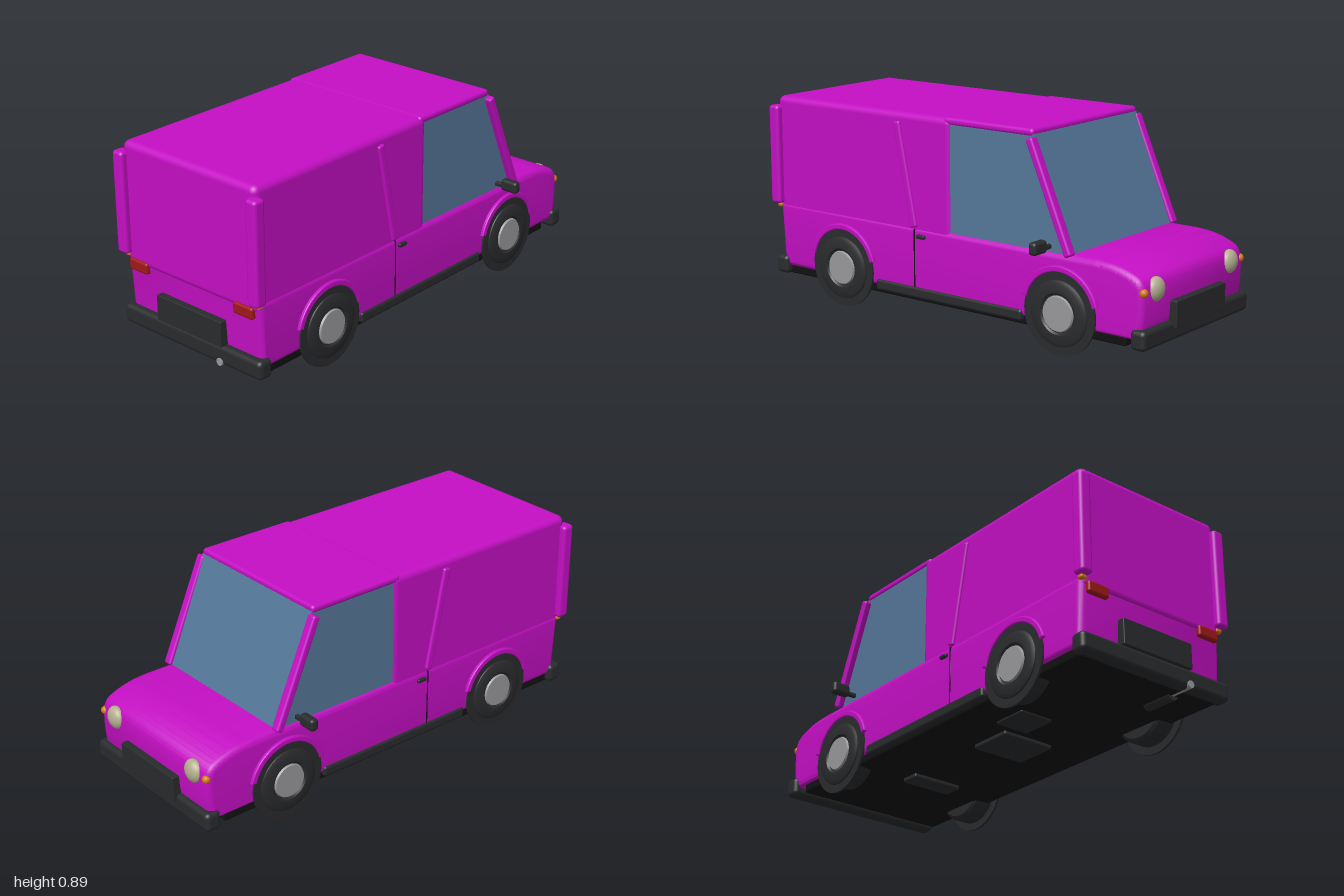
import * as THREE from 'three';
import { mergeVertices, toCreasedNormals } from 'three/addons/utils/BufferGeometryUtils.js';
import { RoundedBoxGeometry } from 'three/addons/geometries/RoundedBoxGeometry.js';

const mat = (color) => new THREE.MeshStandardMaterial({ color });
const paint = mat(0xc40fc4), glass = mat(0x557799), black = mat(0x2a2b2d), floorBlack = mat(0x111111);
const hubGrey = mat(0x99999c), cream = mat(0xb5ae90), amber = mat(0xd07a10), red = mat(0xa01818);

export function createModel() {
  const model = new THREE.Group();
  const add = (name, geo, material, x = 0, y = 0, z = 0) => {
    const mesh = new THREE.Mesh(geo, material);
    mesh.name = name;
    mesh.position.set(x, y, z);
    model.add(mesh);
    return mesh;
  };
  // Rounded box given by its extents
  const box = (name, material, [x0, x1], [y0, y1], [z0, z1], r = 0.012) =>
    add(name, new RoundedBoxGeometry(x1 - x0, y1 - y0, z1 - z0, 3, r), material,
      (x0 + x1) / 2, (y0 + y1) / 2, (z0 + z1) / 2);
  // Same box on both sides
  const boxPair = (name, material, [x0, x1], ys, zs, r) => {
    box(name + 'Left', material, [x0, x1], ys, zs, r);
    box(name + 'Right', material, [-x1, -x0], ys, zs, r);
  };
  // Side profile (x = -z, y) extruded across the width, with rounded edges
  const across = (name, shape, halfWidth, bevel, material) => {
    let geo = new THREE.ExtrudeGeometry(shape, {
      depth: 2 * (halfWidth - bevel), curveSegments: 16, bevelEnabled: bevel > 0,
      bevelThickness: bevel, bevelSize: bevel, bevelOffset: -bevel, bevelSegments: 5,
    });
    geo.translate(0, 0, -(halfWidth - bevel));
    geo.rotateY(Math.PI / 2);
    geo.deleteAttribute('uv');
    geo.deleteAttribute('normal');
    geo = toCreasedNormals(mergeVertices(geo), 0.6);
    return add(name, geo, material);
  };
  // Slanted strip between two (z, y) points
  const strip = (name, x, width, thick, [z0, y0], [z1, y1]) => {
    const len = Math.hypot(z1 - z0, y1 - y0);
    const geo = new RoundedBoxGeometry(width, len, thick, 3, 0.01);
    const mesh = add(name, geo, paint, x, (y0 + y1) / 2, (z0 + z1) / 2);
    mesh.rotation.x = Math.atan2(z1 - z0, y1 - y0);
  };

  // Lower body with bonnet
  const body = new THREE.Shape();
  body.moveTo(-0.95, 0.12);
  body.lineTo(-0.967, 0.412);
  body.lineTo(0.74, 0.412);
  body.splineThru([[0.82, 0.406], [0.9, 0.385], [0.95, 0.355], [0.966, 0.3], [0.964, 0.2], [0.95, 0.12]]
    .map(([x, y]) => new THREE.Vector2(x, y)));
  across('lowerBody', body, 0.37, 0.03, paint);

  // Cargo box, cab roof and glazing
  box('cargoBox', paint, [-0.365, 0.365], [0.36, 0.885], [-0.02, 0.972], 0.03);
  box('cabRoof', paint, [-0.362, 0.362], [0.855, 0.887], [-0.435, 0.02], 0.014);
  const cab = new THREE.Shape();
  cab.moveTo(-0.05, 0.4);
  cab.lineTo(0.628, 0.4);
  cab.lineTo(0.435, 0.865);
  cab.lineTo(-0.05, 0.865);
  across('cabGlass', cab, 0.357, 0, glass);

  // Pillars and corner posts
  for (const s of [1, -1]) {
    strip('windscreenPillar', s * 0.365, 0.042, 0.034, [-0.622, 0.405], [-0.428, 0.852]);
    strip('sidePillar', s * 0.365, 0.022, 0.036, [0.178, 0.405], [0.27, 0.845]);
  }
  boxPair('cornerPost', paint, [0.335, 0.392], [0.405, 0.843], [0.943, 1.0], 0.015);

  // Sills, underside and running gear
  boxPair('sill', black, [0.33, 0.378], [0.105, 0.152], [-0.39, 0.39]);
  box('floorPan', floorBlack, [-0.355, 0.355], [0.088, 0.13], [-0.88, 0.95], 0.008);
  box('fuelTank', black, [-0.12, 0.13], [0.07, 0.1], [0.02, 0.22], 0.008);
  box('silencer', black, [-0.2, -0.04], [0.078, 0.1], [0.26, 0.42], 0.008);
  box('sump', black, [-0.12, 0.12], [0.07, 0.1], [-0.47, -0.38], 0.008);
  const exhaust = add('exhaustPipe', new THREE.CylinderGeometry(0.016, 0.016, 0.14, 20), hubGrey, 0.167, 0.102, 0.92);
  exhaust.rotation.x = Math.PI / 2;
  const muffler = add('exhaustMuffler', new THREE.CylinderGeometry(0.028, 0.028, 0.14, 20), black, 0.167, 0.098, 0.82);
  muffler.rotation.x = Math.PI / 2;

  // Bumpers and number plates
  box('rearBumper', black, [-0.385, 0.385], [0.088, 0.17], [0.915, 0.985], 0.02);
  box('noseBumper', black, [-0.385, 0.385], [0.088, 0.17], [-0.985, -0.915], 0.02);
  box('rearPlate', black, [-0.18, 0.18], [0.168, 0.278], [0.945, 0.99], 0.004);
  box('nosePlate', black, [-0.18, 0.18], [0.14, 0.25], [-0.998, -0.95], 0.004);

  // Lamps, mirrors, handles and door seams
  boxPair('tailLamp', red, [0.24, 0.344], [0.338, 0.388], [0.95, 0.982], 0.01);
  boxPair('rearMarker', amber, [0.345, 0.376], [0.388, 0.408], [0.95, 0.975], 0.008);
  boxPair('mirror', black, [0.392, 0.475], [0.412, 0.465], [-0.535, -0.497], 0.014);
  boxPair('mirrorArm', black, [0.35, 0.4], [0.42, 0.44], [-0.525, -0.507], 0.006);
  boxPair('doorHandle', black, [0.36, 0.382], [0.363, 0.38], [0.115, 0.16], 0.006);
  boxPair('doorSeam', floorBlack, [0.36, 0.3715], [0.15, 0.4], [0.173, 0.179], 0.001);
  for (const s of [1, -1]) {
    const lamp = add('headLamp', new THREE.SphereGeometry(0.05, 28, 16), cream, s * 0.27, 0.312, -0.955);
    lamp.scale.z = 0.65;
    add('indicator', new THREE.SphereGeometry(0.018, 16, 12), amber, s * 0.352, 0.312, -0.957);
  }

  // Wheels with wall disc and hub, and the flares above them
  const tyreProfile = [[0, 0.28], [0.125, 0.28], [0.137, 0.29], [0.14, 0.305], [0.14, 0.365], [0.135, 0.383],
    [0.12, 0.391], [0.085, 0.391], [0.078, 0.384], [0, 0.384]].map(([r, x]) => new THREE.Vector2(r, x));
  const tyreGeo = toCreasedNormals(new THREE.LatheGeometry(tyreProfile, 40), 0.6);
  const wallGeo = new THREE.CylinderGeometry(0.172, 0.172, 0.01, 48);
  const hubGeo = new THREE.CylinderGeometry(0.07, 0.076, 0.012, 36);
  const arch = new THREE.Shape();
  arch.absarc(0, 0, 0.19, 0.26, Math.PI - 0.26, false);
  arch.absarc(0, 0, 0.165, Math.PI - 0.26, 0.26, true);
  const archGeo = new THREE.ExtrudeGeometry(arch, {
    depth: 0.03, curveSegments: 32, bevelThickness: 0.005, bevelSize: 0.005, bevelOffset: -0.005, bevelSegments: 2,
  });
  archGeo.translate(0, 0, -0.015);
  for (const s of [1, -1]) for (const z of [0.58, -0.58]) {
    const wheel = new THREE.Group();
    wheel.name = 'wheel';
    [['tyre', tyreGeo, black, 0], ['tyreWall', wallGeo, black, 0.373], ['hub', hubGeo, hubGrey, 0.386]]
      .forEach(([name, geo, material, offset]) => {
        const part = new THREE.Mesh(geo, material);
        part.name = name;
        part.position.y = offset;
        wheel.add(part);
      });
    wheel.rotation.z = -s * Math.PI / 2;
    wheel.position.set(0, 0.172, z);
    model.add(wheel);
    add('wheelFlare', archGeo, paint, s * 0.365, 0.175, z).rotation.y = Math.PI / 2;
  }
  return model;
}
